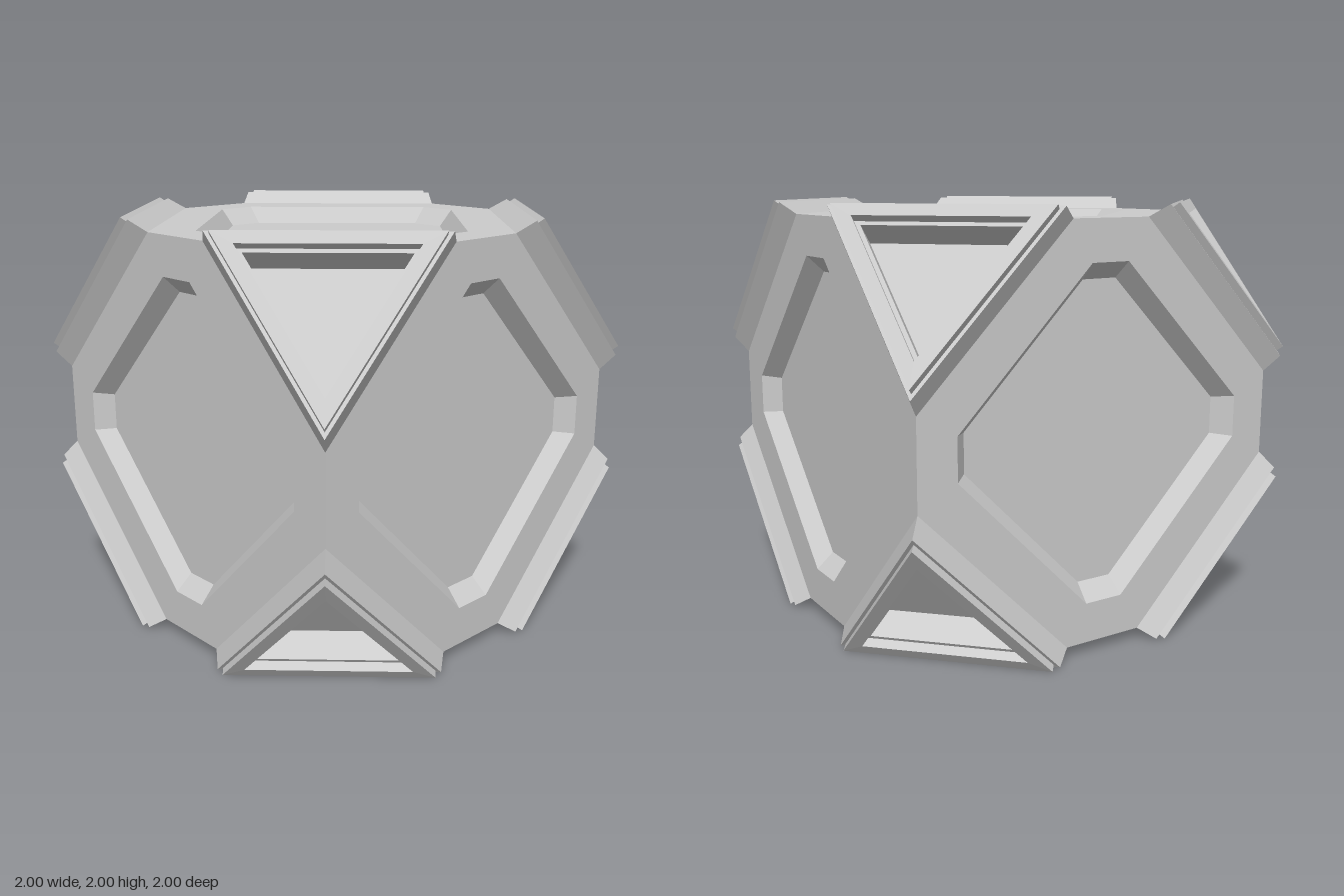
import * as THREE from 'three';

// Joins rings (counter-clockwise seen from outside) from rim to floor, then caps the floor.
function loft(rings) {
  const pos = [];
  const tri = (...pts) => pts.forEach((p) => pos.push(...p));
  for (let k = 0; k < rings.length - 1; k++) {
    const a = rings[k], b = rings[k + 1], n = a.length;
    for (let i = 0; i < n; i++) {
      const j = (i + 1) % n;
      tri(a[i], a[j], b[j]);
      tri(a[i], b[j], b[i]);
    }
  }
  const floor = rings[rings.length - 1];
  for (let i = 1; i < floor.length - 1; i++) tri(floor[0], floor[i], floor[i + 1]);
  const g = new THREE.BufferGeometry();
  g.setAttribute('position', new THREE.Float32BufferAttribute(pos, 3));
  g.computeVertexNormals();
  return g;
}

// Octagon facing +z: reach a, half-width h of the short sides, at depth z.
const octagon = (a, h, z) => [
  [a, -h, z], [a, h, z], [h, a, z], [-h, a, z],
  [-a, h, z], [-a, -h, z], [-h, -a, z], [h, -a, z],
];

// Triangle facing (1, 1, 1).
const triangle = ([a, b]) => [[b, a, a], [a, b, a], [a, a, b]];

export function createModel() {
  const model = new THREE.Group();
  model.name = 'panelledTruncatedCube';
  const material = new THREE.MeshStandardMaterial({ color: 0xcccccc, flatShading: true });
  const add = (name, geometry, rx, ry) => {
    const mesh = new THREE.Mesh(geometry, material);
    mesh.name = name;
    mesh.rotation.set(rx, ry, 0);
    mesh.position.y = 1;
    model.add(mesh);
  };

  // Six octagonal panels with a sloped recess
  const panel = loft([
    octagon(0.94, 0.2, 0.94),
    octagon(0.755, 0.097, 0.94),
    octagon(0.68, 0.088, 0.861),
  ]);
  const q = Math.PI / 2;
  ['frontPanel', 'leftPanel', 'backPanel', 'rightPanel'].forEach((name, i) => add(name, panel, 0, i * q));
  add('topPanel', panel, -q, 0);
  add('bottomPanel', panel, q, 0);

  // Eight raised corners: flared base, undercut plate, stepped triangular pocket
  const corner = loft([
    [0.94, 0.2],
    [0.993, 0.275],
    [0.98, 0.3],
    [1, 0.32],
    [0.952, 0.418],
    [0.926, 0.392],
    [0.911, 0.422],
    [0.829, 0.34],
  ].map(triangle));
  for (let i = 0; i < 4; i++) {
    add('upperCorner', corner, 0, i * q);
    add('lowerCorner', corner, Math.PI, i * q);
  }
  return model;
}
